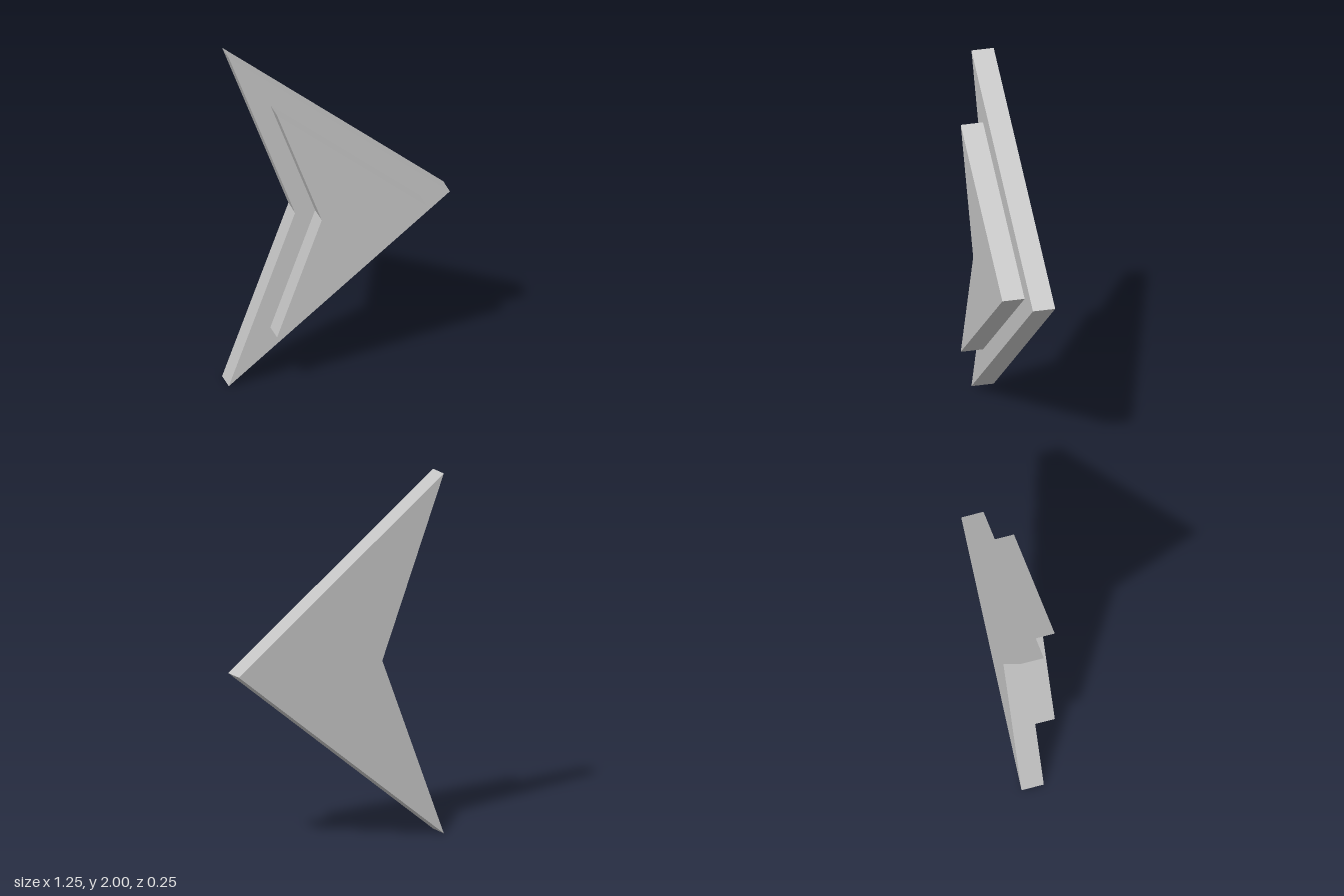
import * as THREE from 'three';

const lightGrey = new THREE.MeshStandardMaterial({ color: 0xc5c5c5 });
lightGrey.name = 'lightGrey';

// Notched arrowhead pointing to +x, symmetric about y = 1
function arrowPlate(name, tipX, notchX, wingX, halfHeight, backZ, depth) {
  const shape = new THREE.Shape([
    new THREE.Vector2(tipX, 1),
    new THREE.Vector2(wingX, 1 + halfHeight),
    new THREE.Vector2(notchX, 1),
    new THREE.Vector2(wingX, 1 - halfHeight),
  ]);
  const geometry = new THREE.ExtrudeGeometry(shape, { depth, bevelEnabled: false });
  geometry.translate(0, 0, backZ);
  const mesh = new THREE.Mesh(geometry, lightGrey);
  mesh.name = name;
  return mesh;
}

export function createModel() {
  const group = new THREE.Group();
  group.name = 'arrowhead';
  // Large plate behind, smaller raised plate in front
  group.add(arrowPlate('backPlate', 0.625, -0.25, -0.625, 1, -0.125, 0.125));
  group.add(arrowPlate('raisedPlate', 0.456, -0.137, -0.39, 0.676, 0, 0.125));
  return group;
}
